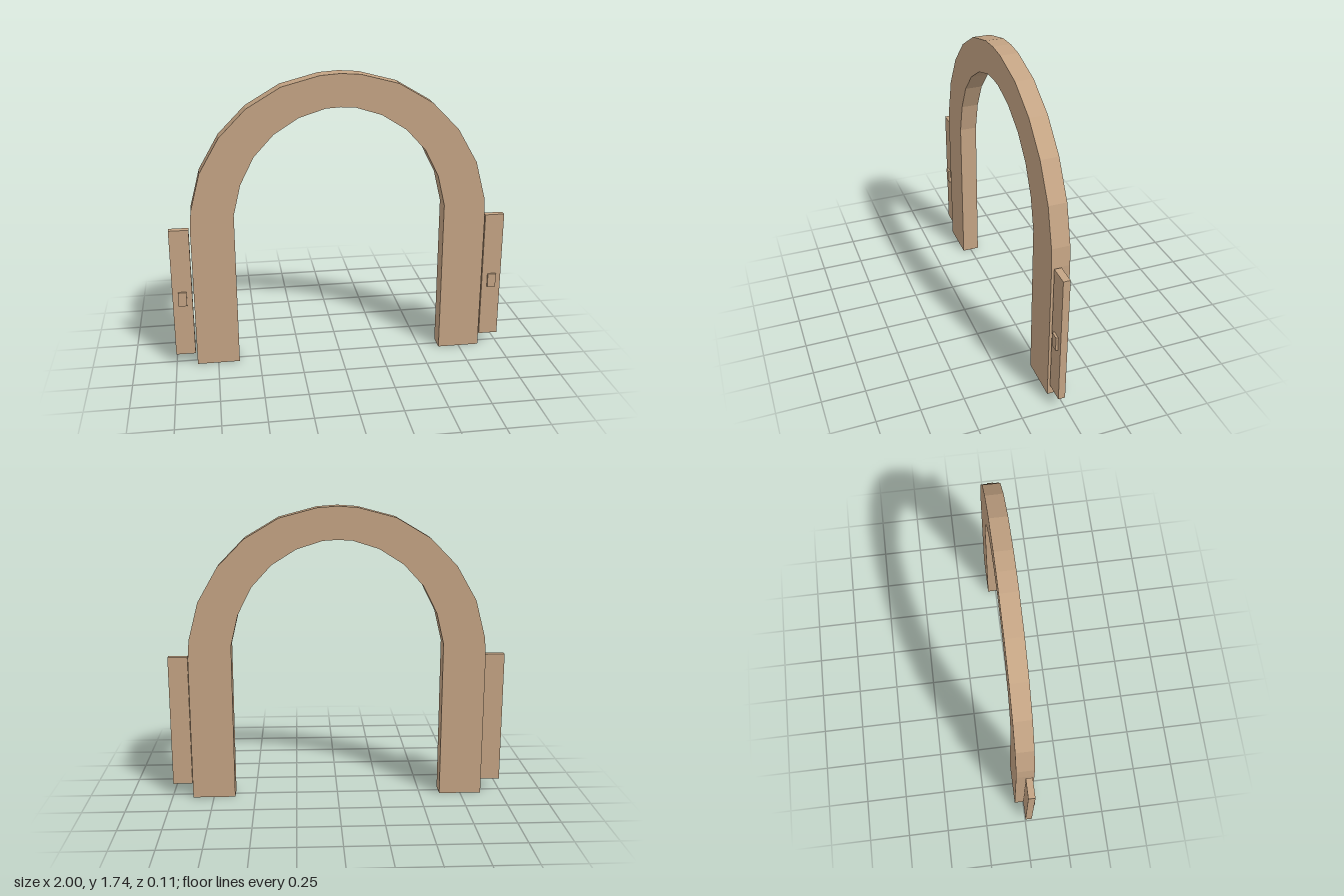
import * as THREE from 'three';

export function createModel() {
  const model = new THREE.Group();
  model.name = 'archway';
  const material = new THREE.MeshStandardMaterial({ color: 0xc4a484, flatShading: true });

  // Arch frame: half outlines from foot to crown, mirrored across x = 0
  const outer = [[0.875, 0], [0.875, 0.86], [0.866, 0.975], [0.807, 1.198], [0.69, 1.4],
    [0.533, 1.56], [0.335, 1.677], [0.115, 1.735], [0, 1.743]];
  const inner = [[0.622, 0], [0.622, 0.94], [0.578, 1.123], [0.497, 1.283], [0.38, 1.41],
    [0.237, 1.5], [0.085, 1.548], [0, 1.553]];
  const mirrored = (half) => [...half, ...half.slice(0, -1).reverse().map(([x, y]) => [-x, y])];
  const outline = [...mirrored(outer), ...mirrored(inner).reverse()];
  const shape = new THREE.Shape(outline.map(([x, y]) => new THREE.Vector2(x, y)));
  const archGeometry = new THREE.ExtrudeGeometry(shape, { depth: 0.104, bevelEnabled: false });
  archGeometry.translate(0, 0, -0.053);
  const arch = new THREE.Mesh(archGeometry, material);
  arch.name = 'archFrame';
  model.add(arch);

  const addBox = (parent, name, size, position) => {
    const mesh = new THREE.Mesh(new THREE.BoxGeometry(...size), material);
    mesh.name = name;
    mesh.position.set(...position);
    parent.add(mesh);
  };

  // Side panels, each with a small raised plate on the front
  for (const [side, sign] of [['left', 1], ['right', -1]]) {
    const group = new THREE.Group();
    group.name = `${side}SidePanel`;
    addBox(group, `${side}Panel`, [0.116, 0.793, 0.04], [sign * 0.942, 0.465, 0.02]);
    addBox(group, `${side}Plate`, [0.05, 0.086, 0.014], [sign * 0.942, 0.433, 0.046]);
    model.add(group);
  }
  return model;
}
